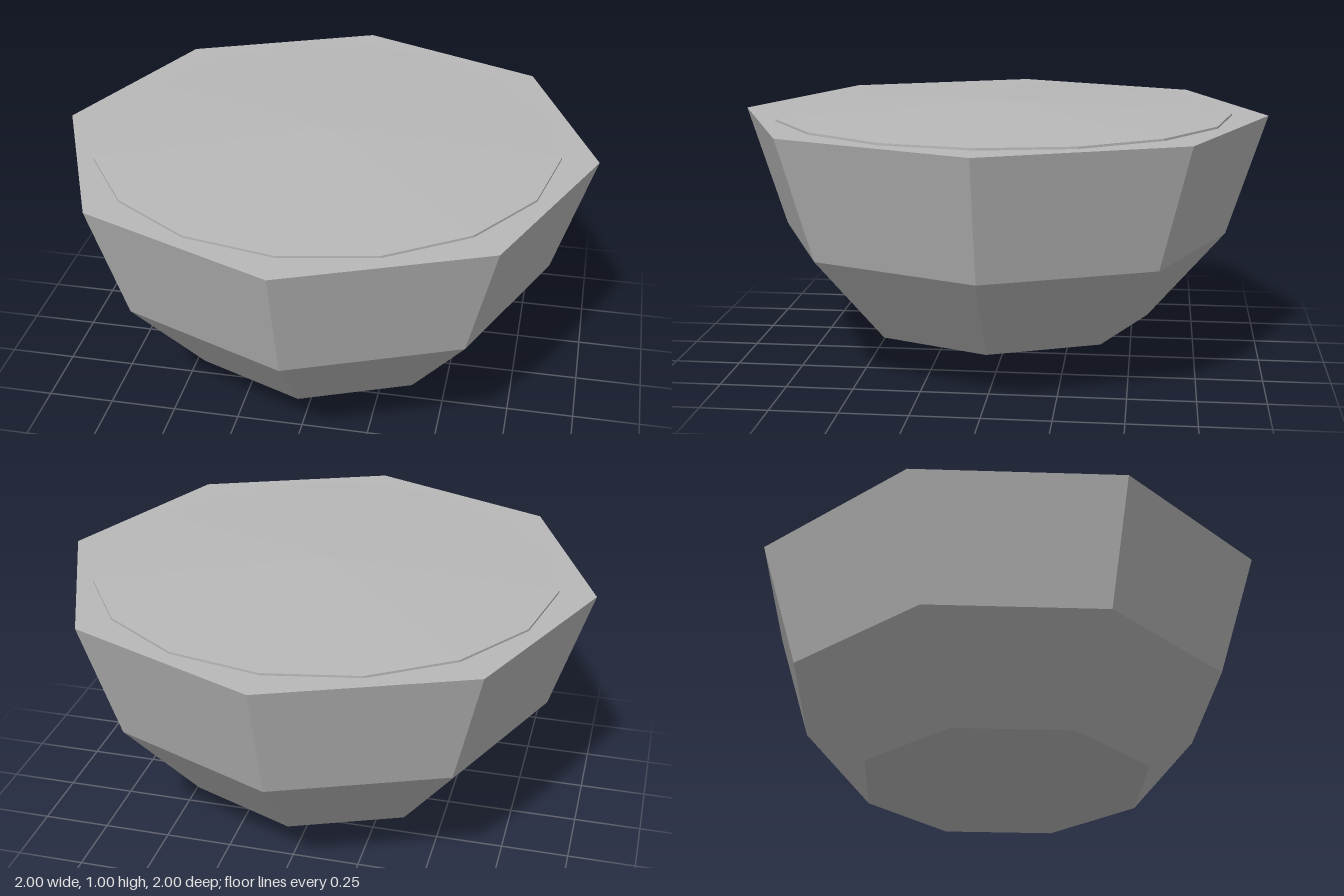
import * as THREE from 'three';

const stone = new THREE.MeshStandardMaterial({ color: 0xb8b8b8, flatShading: true });
stone.name = 'pale grey';

// Faceted solid of revolution; the profile runs from the bottom up as [radius, y].
function faceted(name, profile, sides) {
  const points = profile.map(([r, y]) => new THREE.Vector2(r, y));
  const geometry = new THREE.LatheGeometry(points, sides).toNonIndexed();
  geometry.computeVertexNormals();
  const mesh = new THREE.Mesh(geometry, stone);
  mesh.name = name;
  return mesh;
}

export function createModel() {
  const model = new THREE.Group();
  model.name = 'facetedBowl';

  // Eight-sided bowl with a pointed base and a flat rim
  model.add(faceted('bowl', [[0, 0], [0.565, 0.17], [0.855, 0.505], [1, 0.96], [0, 0.96]], 8));

  // Shallow sixteen-sided dome lying inside the rim
  model.add(faceted('dome', [[0.865, 0.96], [0.865, 0.968], [0, 1]], 16));

  return model;
}
